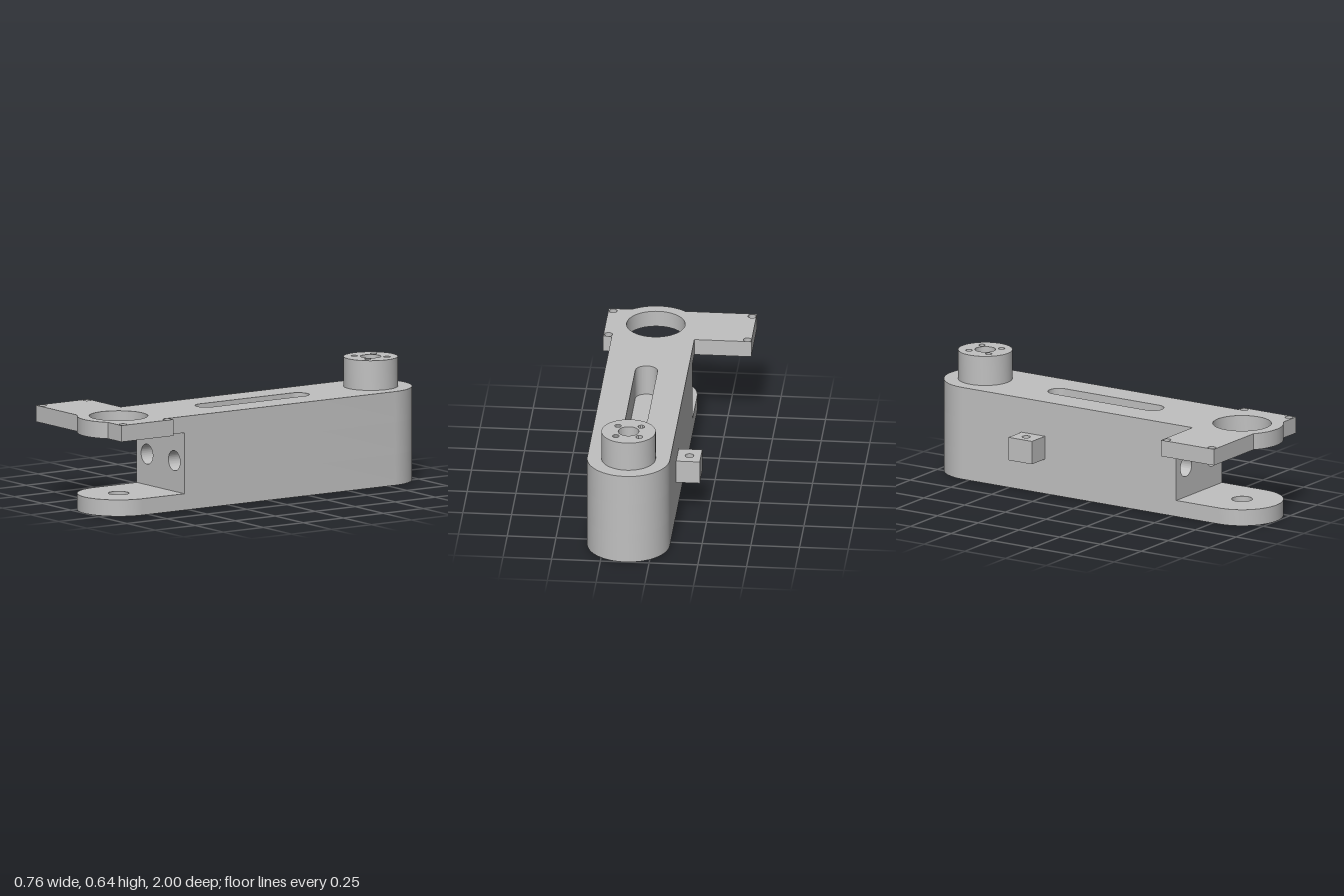
import * as THREE from 'three';
import { toCreasedNormals } from 'three/addons/utils/BufferGeometryUtils.js';

const CX = 0.124, R = 0.212, L = CX - R, RT = CX + R; // arm centre line and half width
const PIVOT = 0.788;                                   // pivot distance from the middle
const SPLIT = 0.325, STEP = 0.525;                     // body split and fork root along z
const T = 0.085, FORK = 0.401, TOP = 0.486, BOSS = 0.64;

// Plan shapes use (x, -z), so extruding and tipping them makes y the height.
const circle = (x, y, r) => new THREE.Path().absarc(x, y, r, 0, Math.PI * 2, false);
const polygon = (pts) => new THREE.Shape(pts.map(([x, y]) => new THREE.Vector2(x, y)));

function slot() {
  const p = new THREE.Path(), r = 0.057;
  p.absarc(CX, 0.335, r, 0, Math.PI, false);
  p.absarc(CX, -0.24, r, Math.PI, Math.PI * 2, false);
  p.closePath();
  return p;
}

export function createModel() {
  const group = new THREE.Group();
  const grey = new THREE.MeshStandardMaterial({ color: 0xc0c0c0 });
  grey.name = 'machined grey';

  function add(name, shape, holes, depth) {
    shape.holes.push(...holes);
    const geo = new THREE.ExtrudeGeometry(shape, { depth, bevelEnabled: false, curveSegments: 32 });
    const mesh = new THREE.Mesh(toCreasedNormals(geo, 0.6), grey);
    mesh.name = name;
    group.add(mesh);
    return mesh;
  }
  function addPlan(name, shape, holes, y0, y1) {
    const mesh = add(name, shape, holes, y1 - y0);
    mesh.geometry.rotateX(-Math.PI / 2);
    mesh.position.y = y0;
  }

  // Rear body with a round end, a through bore and a blind slot above and below
  const rearShape = () => {
    const s = new THREE.Shape();
    s.moveTo(L, -SPLIT);
    s.lineTo(RT, -SPLIT);
    s.absarc(CX, PIVOT, R, 0, Math.PI, false);
    s.closePath();
    return s;
  };
  const bore = () => circle(CX, PIVOT, 0.053);
  addPlan('rearBodyLower', rearShape(), [bore(), slot()], 0, 0.16);
  addPlan('rearBodyWeb', rearShape(), [bore()], 0.16, 0.326);
  addPlan('rearBodyUpper', rearShape(), [bore(), slot()], 0.326, TOP);

  // Fork root with two blind round holes facing forward
  const root = polygon([[L, T], [RT, T], [RT, FORK], [L, FORK]]);
  const rootHoles = [-0.121, 0.121].map((dx) => circle(CX + dx, 0.244, 0.052));
  add('forkRoot', root, rootHoles, STEP - SPLIT).position.z = SPLIT;

  // Lower fork plate with a round nose
  const lower = new THREE.Shape();
  lower.moveTo(RT, -SPLIT);
  lower.lineTo(L, -SPLIT);
  lower.absarc(CX, -PIVOT, R, Math.PI, Math.PI * 2, false);
  lower.closePath();
  addPlan('lowerForkPlate', lower, [circle(CX, -PIVOT, 0.053)], 0, T);

  // Upper fork plate with rectangular wings and a shallow round nose
  const W = 0.38, Z0 = 0.625, Z1 = 0.95;
  const a = Math.asin((Z1 - PIVOT) / R);
  const upper = new THREE.Shape();
  upper.moveTo(RT, -SPLIT);
  upper.lineTo(L, -SPLIT);
  upper.lineTo(L, -Z0);
  upper.lineTo(-W, -Z0);
  upper.lineTo(-W, -Z1);
  upper.absarc(CX, -PIVOT, R, Math.PI + a, Math.PI * 2 - a, false);
  upper.lineTo(W, -Z1);
  upper.lineTo(W, -Z0);
  upper.lineTo(RT, -Z0);
  upper.closePath();
  const upperHoles = [circle(CX, -PIVOT, 0.15)];
  for (const x of [-0.358, 0.355])
    for (const z of [0.647, 0.923]) upperHoles.push(circle(x, -z, 0.021));
  addPlan('upperForkPlate', upper, upperHoles, FORK, TOP);

  // Boss with the bore and four small screw holes
  const boss = new THREE.Shape();
  boss.absarc(CX, PIVOT, 0.139, 0, Math.PI * 2, false);
  const bossHoles = [bore()];
  for (const dx of [-0.06, 0.06])
    for (const dy of [-0.06, 0.06]) bossHoles.push(circle(CX + dx, PIVOT + dy, 0.017));
  addPlan('boss', boss, bossHoles, TOP, BOSS);

  // Side lug with a vertical hole
  const lug = polygon([[-0.209, 0.28], [L, 0.28], [L, 0.425], [-0.209, 0.425]]);
  addPlan('sideLug', lug, [circle(-0.15, 0.355, 0.022)], 0.183, 0.304);

  return group;
}
